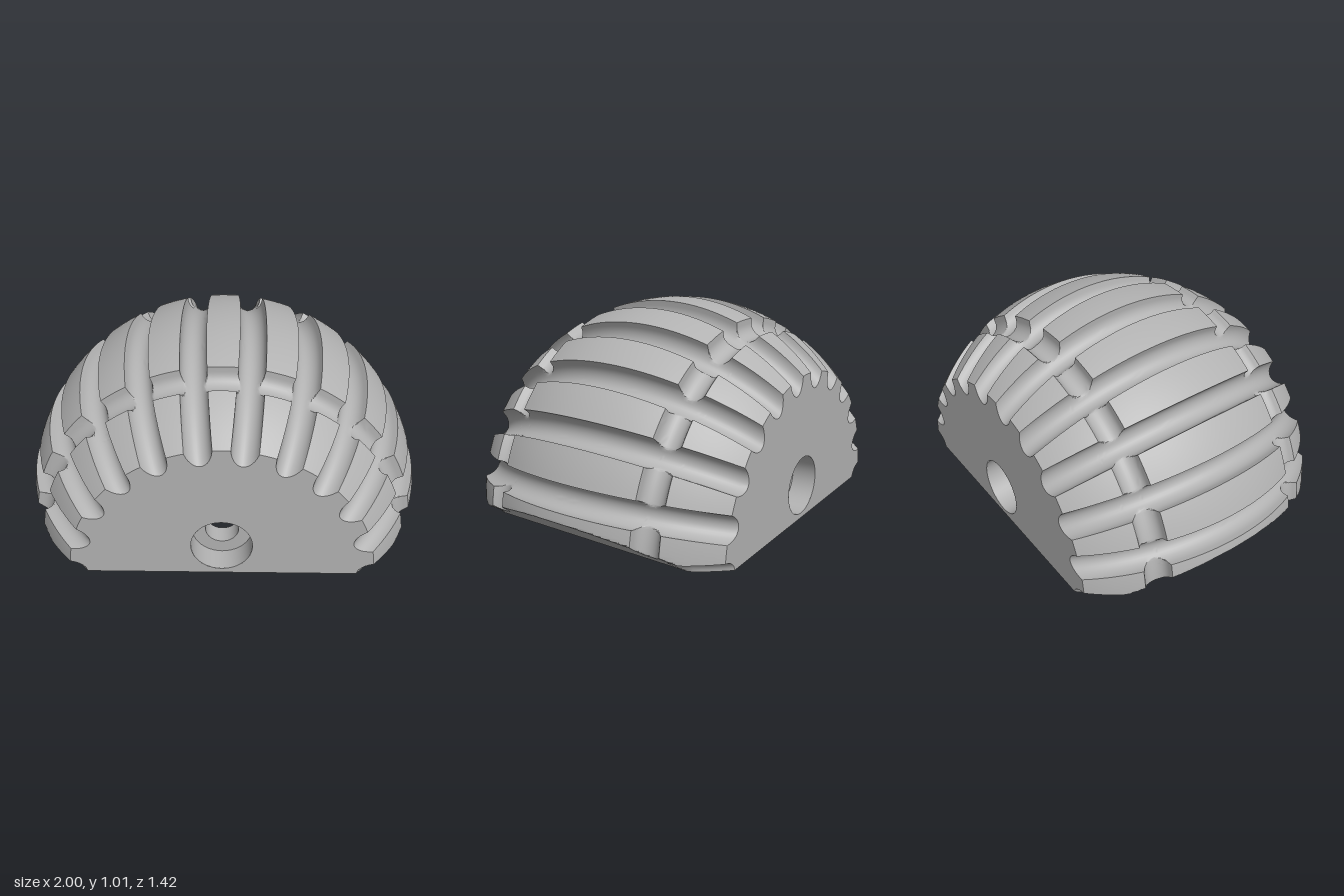
import * as THREE from 'three';
import { toCreasedNormals } from 'three/addons/utils/BufferGeometryUtils.js';

const R = 1.015, END = 0.71;            // dome sphere radius, half length
const GROOVE = 0.065, COUNT = 11;       // tread groove radius, grooves per half turn
const RING_Z = 0.43, RING = 0.06;       // ring groove position and radius
const CAV_R = 0.63, CAV_Z = 0.495;      // hollow radius and half length
const HOLE_Y = 0.17, BORE = 0.145, HOLE = 0.08, STEP_Z = 0.59;

const sphereAt = z => Math.sqrt(R * R - z * z);

// bottom of a lengthwise groove, t = sideways position -1..1 across it
function grooveAt(z, t) {
  const floor = Math.sqrt(1.04 * 1.04 - z * z) - 0.115;
  return floor + GROOVE * (1 - Math.sqrt(Math.max(0, 1 - t * t))) / (sphereAt(z) / R);
}

// sloped cut along both lower edges
function cutAt(angle) {
  const k = 0.77, d = k * Math.abs(Math.cos(angle)) - Math.sin(angle);
  return d > 0.01 ? k * 0.765 / d : Infinity;
}

// one sample column runs along the length; t is null on the lugs
function point(col, row) {
  const z = row.z, half = GROOVE * 0.97 / sphereAt(z), pitch = Math.PI / COUNT;
  const angle = col.t !== null
    ? col.g * pitch + col.t * half
    : col.g * pitch + half + col.v * (pitch - 2 * half);
  let r = Math.min(sphereAt(z), cutAt(angle));
  if (col.t !== null) r = Math.min(r, grooveAt(z, col.t));
  if (row.ring) {
    const d = Math.abs(z) - RING_Z;
    r = Math.min(r, 0.92 - Math.sqrt(Math.max(0, RING * RING - d * d)));
  }
  return new THREE.Vector3(r * Math.cos(angle), Math.max(0, r * Math.sin(angle)), z);
}

function makeColumns() {
  const cols = [], n = 16;
  for (let g = 0; g <= COUNT; g++) {
    for (let i = 0; i <= n; i++) {
      const t = i === n / 2 ? 0 : -Math.cos(Math.PI * i / n);
      if ((g === 0 && t < 0) || (g === COUNT && t > 0)) continue;
      cols.push({ g, t });
    }
    const m = g === 0 || g === COUNT - 1 ? 28 : 6;
    if (g < COUNT) for (let i = 0; i <= m; i++) cols.push({ g, t: null, v: i / m });
  }
  return cols;
}

function makeRows() {
  const half = [];
  for (let i = 0; i <= 8; i++) half.push({ z: END - (END - RING_Z - RING) * i / 8, ring: false });
  for (let i = 0; i <= 16; i++) half.push({ z: RING_Z + RING * Math.cos(Math.PI * i / 16), ring: true });
  for (let i = 0; i < 10; i++) half.push({ z: (RING_Z - RING) * (1 - i / 10), ring: false });
  const back = half.map(r => ({ z: -r.z, ring: r.ring }));
  return [...back, { z: 0, ring: false }, ...half.reverse()];
}

function treadGeometry(cols, rows) {
  const pos = [], index = [], n = rows.length;
  for (const c of cols) for (const r of rows) pos.push(...point(c, r).toArray());
  for (let i = 0; i < cols.length - 1; i++) {
    for (let j = 0; j < n - 1; j++) {
      const a = i * n + j, b = a + n;
      index.push(a, b, a + 1, b, b + 1, a + 1);
    }
  }
  const geo = new THREE.BufferGeometry();
  geo.setAttribute('position', new THREE.Float32BufferAttribute(pos, 3));
  geo.setIndex(index);
  return toCreasedNormals(geo, 0.5);
}

function circleHole(shape, radius) {
  shape.holes.push(new THREE.Path().absarc(0, HOLE_Y, radius, 0, Math.PI * 2, true));
  return shape;
}

export function createModel() {
  const group = new THREE.Group();
  const grey = new THREE.MeshStandardMaterial({ color: 0xb2b2b2, side: THREE.DoubleSide });
  grey.name = 'grey';
  const add = (name, geo, parent = group) => {
    const mesh = new THREE.Mesh(geo, grey);
    mesh.name = name;
    parent.add(mesh);
    return mesh;
  };

  // grooved dome with its sloped lower edges
  const cols = makeColumns(), rows = makeRows();
  add('treadDome', treadGeometry(cols, rows));

  // flat ends: scalloped face, stepped bolt hole and inner wall
  const outline = cols.map(c => point(c, { z: END, ring: false }))
    .filter((p, i, all) => i === 0 || p.distanceTo(all[i - 1]) > 1e-4)
    .map(p => new THREE.Vector2(p.x, p.y));
  const face = new THREE.ShapeGeometry(circleHole(new THREE.Shape(outline), BORE), 40);
  face.translate(0, 0, END);

  const wallShape = new THREE.Shape().absarc(0, 0, CAV_R, 0, Math.PI, false);
  const wall = new THREE.ShapeGeometry(circleHole(wallShape, HOLE), 40);
  wall.rotateY(Math.PI).translate(0, 0, CAV_Z);

  const profile = [[HOLE, CAV_Z], [HOLE, STEP_Z], [BORE, STEP_Z], [BORE, END]]
    .map(([r, z]) => new THREE.Vector2(r, z));
  const bore = toCreasedNormals(new THREE.LatheGeometry(profile.reverse(), 40), 0.6);
  bore.rotateX(Math.PI / 2).translate(0, HOLE_Y, 0);

  for (const [name, turn] of [['frontEnd', 0], ['backEnd', Math.PI]]) {
    const end = new THREE.Group();
    end.name = name;
    end.rotation.y = turn;
    add('endFace', face, end);
    add('innerWall', wall, end);
    add('boltHole', bore, end);
    group.add(end);
  }

  // arched ceiling of the hollow
  const vault = new THREE.CylinderGeometry(CAV_R, CAV_R, CAV_Z * 2, 48, 1, true, -Math.PI / 2, Math.PI);
  vault.rotateX(-Math.PI / 2);
  const idx = vault.index.array;        // turn the faces inward
  for (let i = 0; i < idx.length; i += 3) [idx[i], idx[i + 1]] = [idx[i + 1], idx[i]];
  vault.computeVertexNormals();
  add('hollowVault', vault);

  // flat rim around the opening underneath
  const side = rows.map(r => point(cols[0], r))
    .filter((p, i, all) => i === 0 || p.distanceTo(all[i - 1]) > 1e-4)
    .map(p => new THREE.Vector2(p.x, p.z));
  const rim = new THREE.Shape([...side, ...side.map(p => new THREE.Vector2(-p.x, p.y)).reverse()]);
  rim.holes.push(new THREE.Path([[-1, -1], [-1, 1], [1, 1], [1, -1]]
    .map(([x, z]) => new THREE.Vector2(x * CAV_R, z * CAV_Z))));
  add('bottomRim', new THREE.ShapeGeometry(rim).rotateX(Math.PI / 2));

  return group;
}
